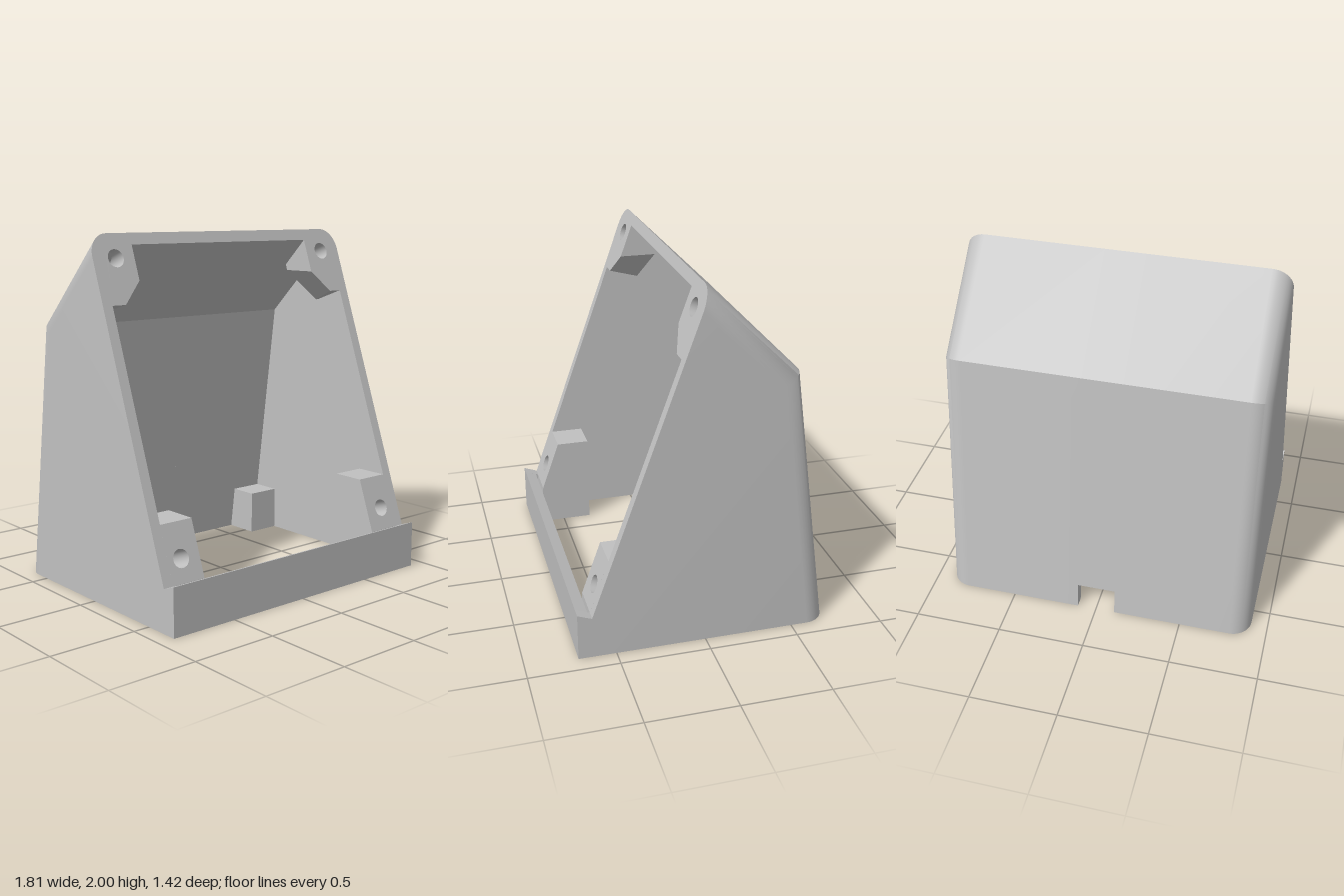
import * as THREE from 'three';
import { toCreasedNormals } from 'three/addons/utils/BufferGeometryUtils.js';

const HALF = 0.905, INNER = 0.845, WALL = 0.06, ROUND = 0.115;
const TILT = 0.358;                     // z gained per unit of height lost on the sloping front
const NY = 0.337, NZ = 0.941;           // normal of the sloping front
const X = new THREE.Vector3(1, 0, 0);
const Z = new THREE.Vector3(0, 0, 1);
const UP_FRONT = new THREE.Vector3(0, NZ, -NY);
const vec = (x, y, z) => new THREE.Vector3(x, y, z);

// Collects faces; side = -1 mirrors them across x = 0
class Faces {
  constructor(side = 1) { this.side = side; this.data = []; }
  tri(a, b, c) {
    const list = this.side > 0 ? [a, b, c] : [a, c, b];
    for (const p of list) this.data.push(p.x * this.side, p.y, p.z);
  }
  quad(a, b, c, d) { this.tri(a, b, c); this.tri(a, c, d); }
  // Flat polygon, optionally holed, seen counter-clockwise along u, v
  poly(points, u, v, hole = [], reverse = false) {
    const flat = list => list.map(p => new THREE.Vector2(p.dot(u), p.dot(v)));
    const all = [...points, ...hole];
    for (const [a, b, c] of THREE.ShapeUtils.triangulateShape(flat(points), hole.length ? [flat(hole)] : [])) {
      if (reverse) this.tri(all[a], all[c], all[b]);
      else this.tri(all[a], all[b], all[c]);
    }
  }
  // Solid between two outlines, with an optional blind screw hole in the first
  block(front, back, u, v, holeAt) {
    const n = front.length, ring = [], end = [];
    if (holeAt) {
      const axis = u.clone().cross(v);
      for (let i = 0; i < 24; i++) {
        const t = i / 24 * Math.PI * 2;
        const p = holeAt.clone().addScaledVector(u, 0.05 * Math.cos(t)).addScaledVector(v, 0.05 * Math.sin(t));
        ring.push(p);
        end.push(p.clone().addScaledVector(axis, -0.18));
      }
      for (let i = 0; i < 24; i++) {
        const j = (i + 1) % 24;
        this.quad(ring[i], ring[j], end[j], end[i]);
        if (i > 0 && i < 23) this.tri(end[0], end[i], end[j]);
      }
    }
    this.poly(front, u, v, ring);
    this.poly(back, u, v, [], true);
    for (let i = 0; i < n; i++) {
      const j = (i + 1) % n;
      this.quad(front[i], back[i], back[j], front[j]);
    }
  }
  mesh(name, material) {
    const geometry = new THREE.BufferGeometry();
    geometry.setAttribute('position', new THREE.Float32BufferAttribute(this.data, 3));
    const mesh = new THREE.Mesh(toCreasedNormals(geometry, 0.5), material);
    mesh.name = name;
    return mesh;
  }
}

// Back wall and sloping roof line, moved inward by d: bottom, fold, top
const spine = (x, d, y0 = 0) => [
  vec(x, y0, -0.51 + (d + 0.132 * (y0 - 1.5)) / 0.991),
  vec(x, 1.5 - 0.473 * d, -0.51 + 0.947 * d),
  vec(x, 2 - 1.03 * d, TILT * 1.03 * d),
];

// Point at height y, a given depth behind the sloping front
const behind = (x, y, depth = 0) => vec(x, y, (2 - y - NY * depth) * TILT - NZ * depth);

const rect = (y, z0, z1, x0 = 0.64, x1 = INNER) =>
  [vec(x0, y, z0), vec(x1, y, z0), vec(x1, y, z1), vec(x0, y, z1)];

function buildShell(material) {
  const shell = new Faces();
  // Stations across the back: rounded corner, cable notch, rounded corner
  const half = [];
  for (let i = 0; i <= 10; i++) {
    const t = i / 10 * Math.PI / 2;
    half.push([HALF - ROUND + ROUND * Math.cos(t), ROUND * (1 - Math.sin(t)), 0]);
  }
  half.push([0.11, 0, 0], [0.11, 0, 0.15]);
  const stations = [...half, ...half.map(([x, d, y]) => [-x, d, y]).reverse()];
  const loops = stations.map(([x, d, y]) => {
    const inX = THREE.MathUtils.clamp(x, -INNER, INNER);
    return [...spine(x, d, y), ...spine(inX, WALL, y).reverse()];
  });
  for (let i = 0; i + 1 < loops.length; i++) {
    const a = loops[i], b = loops[i + 1];
    for (let k = 0; k < 6; k++) {
      const m = (k + 1) % 6;
      shell.quad(a[k], b[k], b[m], a[m]);
    }
  }
  // Side walls with the small raised lip at the front
  const outline = (x, d) =>
    [vec(x, 0, 0.71), ...spine(x, d), vec(x, 0.24, 0.63), vec(x, 0.27, 0.71)];
  const back = vec(0, 0, -1), up = vec(0, 1, 0);
  for (const side of [1, -1]) {
    shell.side = side;
    const outer = outline(HALF, ROUND), inner = outline(INNER, WALL);
    shell.poly(outer, back, up);
    shell.poly(inner, back, up, [], true);
    for (const k of [0, 3, 4, 5]) {
      const m = (k + 1) % 6;
      shell.quad(outer[k], inner[k], inner[m], outer[m]);
    }
  }
  return shell.mesh('shell', material);
}

export function createModel() {
  const group = new THREE.Group();
  group.name = 'slopedEnclosure';
  const grey = new THREE.MeshStandardMaterial({ color: 0xc0c0c0 });
  grey.name = 'light grey';

  group.add(buildShell(grey));

  // Low wall across the front
  const wall = new Faces();
  const top = rect(0.27, 0.645, 0.71, -INNER, INNER);
  top[0].y = top[1].y = 0.245;
  wall.block(rect(0, 0.645, 0.71, -INNER, INNER), top, X, Z);
  group.add(wall.mesh('frontLip', grey));

  for (const side of [1, -1]) {
    const label = side > 0 ? 'left' : 'right';

    // Upper screw gusset with a chamfered corner
    const gusset = new Faces(side);
    gusset.block(
      [behind(0.64, 1.75), behind(0.76, 1.63), behind(INNER, 1.63), behind(INNER, 1.94), behind(0.64, 1.94)],
      [behind(0.64, 1.75, 0.2), behind(0.827, 1.563, 0.2), behind(INNER, 1.563, 0.2),
        behind(INNER, 1.785, 0.2), behind(0.64, 1.785, 0.2)],
      X, UP_FRONT, behind(0.76, 1.87));
    group.add(gusset.mesh(label + 'UpperGusset', grey));

    // Front post: foot hole below, screw hole in the sloping face
    const post = new Faces(side);
    post.block(rect(0, 0.33, 0.645), rect(0.24, 0.33, 0.63), X, Z, vec(0.755, 0, 0.47));
    post.block(
      [behind(0.64, 0.24), behind(INNER, 0.24), behind(INNER, 0.54), behind(0.64, 0.54)],
      [vec(0.64, 0.24, 0.33), vec(INNER, 0.24, 0.33), vec(INNER, 0.54, 0.33), vec(0.64, 0.54, 0.33)],
      X, UP_FRONT, behind(0.76, 0.36));
    group.add(post.mesh(label + 'FrontPost', grey));

    // Back post with a foot hole
    const rear = new Faces(side);
    rear.block(rect(0, -0.65, -0.44), rect(0.26, -0.62, -0.44), X, Z, vec(0.755, 0, -0.535));
    group.add(rear.mesh(label + 'BackPost', grey));
  }
  return group;
}
